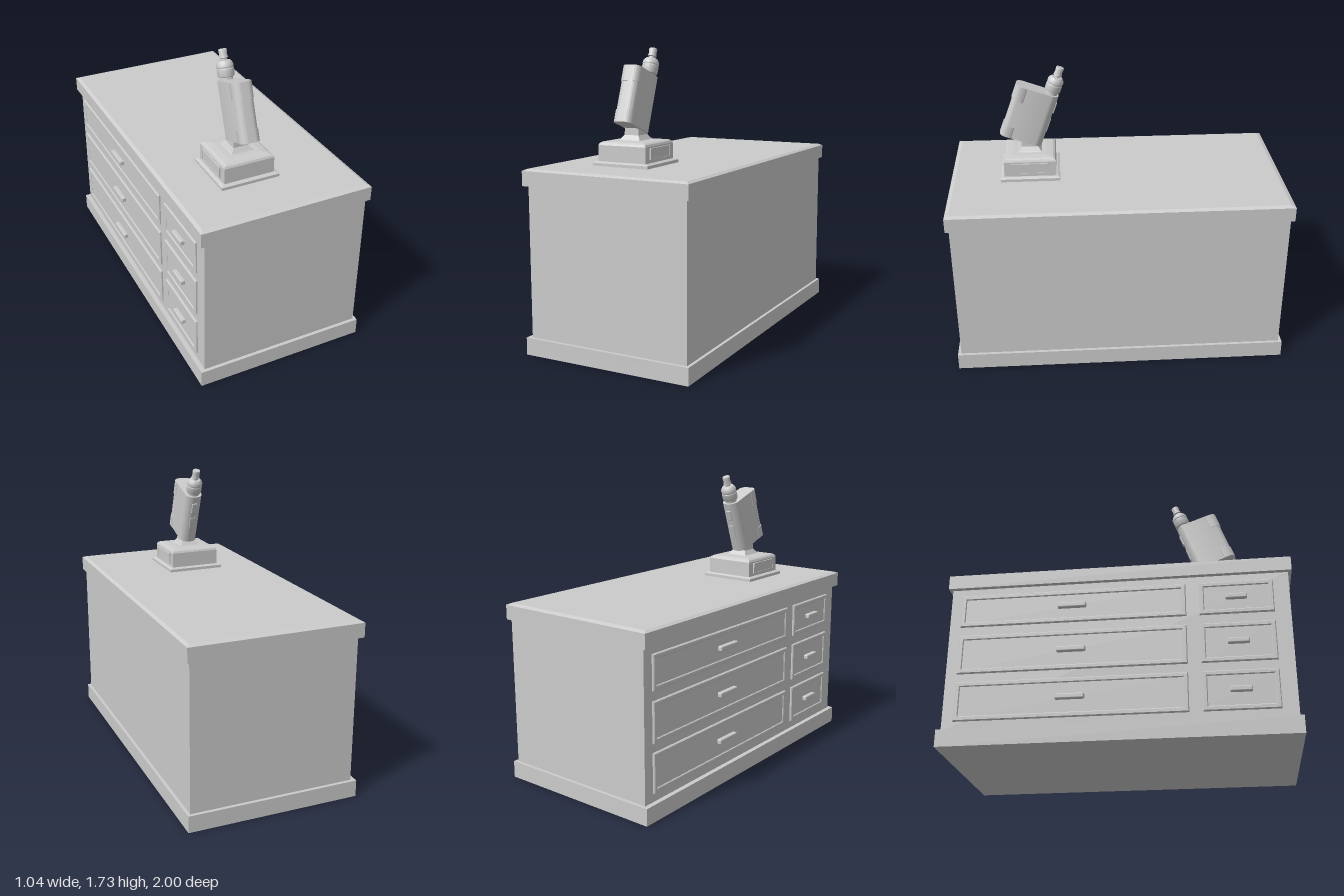
import * as THREE from 'three';
import { toCreasedNormals } from 'three/addons/utils/BufferGeometryUtils.js';
import { RoundedBoxGeometry } from 'three/addons/geometries/RoundedBoxGeometry.js';

const grey = new THREE.MeshStandardMaterial({ color: 0xcccccc });

function add(parent, name, geometry, x = 0, y = 0, z = 0) {
  const mesh = new THREE.Mesh(geometry, grey);
  mesh.name = name;
  mesh.position.set(x, y, z);
  parent.add(mesh);
  return mesh;
}

// Closed solid from stacked rectangles, each [y, halfX, halfZ]
function rectLoft(rings) {
  const pos = [];
  const corners = rings.map(([y, a, b]) => [[-a, y, b], [a, y, b], [a, y, -b], [-a, y, -b]]);
  const quad = (a, b, c, d) => pos.push(...a, ...b, ...c, ...a, ...c, ...d);
  for (let i = 0; i < rings.length - 1; i++) {
    const lo = corners[i], hi = corners[i + 1];
    for (let k = 0; k < 4; k++) quad(lo[k], lo[(k + 1) % 4], hi[(k + 1) % 4], hi[k]);
  }
  const first = corners[0], last = corners[corners.length - 1];
  quad(last[0], last[1], last[2], last[3]);
  quad(first[3], first[2], first[1], first[0]);
  const g = new THREE.BufferGeometry();
  g.setAttribute('position', new THREE.Float32BufferAttribute(pos, 3));
  g.computeVertexNormals();
  return g;
}

// Upright slab with rounded ends: half width w, z from back to front, corner radii per end
function roundedSlab(w, back, front, rBack, rFront, y0, y1) {
  const s = new THREE.Shape();
  s.moveTo(-w + rFront, -front);
  s.lineTo(w - rFront, -front);
  s.absarc(w - rFront, -front + rFront, rFront, -Math.PI / 2, 0, false);
  s.absarc(w - rBack, -back - rBack, rBack, 0, Math.PI / 2, false);
  s.absarc(-w + rBack, -back - rBack, rBack, Math.PI / 2, Math.PI, false);
  s.absarc(-w + rFront, -front + rFront, rFront, Math.PI, Math.PI * 1.5, false);
  const g = new THREE.ExtrudeGeometry(s, { depth: y1 - y0, bevelEnabled: false, curveSegments: 10 });
  g.rotateX(-Math.PI / 2);
  g.translate(0, y0, 0);
  return toCreasedNormals(g, 0.6);
}

// Drawer on the -x side: bevelled frame, recessed panel and handle
function makeDrawer(width, height, handleLength) {
  const drawer = new THREE.Group();
  drawer.name = 'drawer';
  const rect = (shape, w, h) => shape.moveTo(-w, -h).lineTo(w, -h).lineTo(w, h).lineTo(-w, h).closePath();
  const w = width / 2 - 0.005, h = height / 2 - 0.005, rim = 0.018;
  const frame = new THREE.Shape();
  rect(frame, w, h);
  const hole = new THREE.Path();
  rect(hole, w - rim, h - rim);
  frame.holes.push(hole);
  const g = new THREE.ExtrudeGeometry(frame, {
    depth: 0.008, bevelThickness: 0.005, bevelSize: 0.005, bevelSegments: 1,
  });
  g.rotateY(-Math.PI / 2);
  add(drawer, 'drawerFrame', g);
  add(drawer, 'drawerPanel', new THREE.BoxGeometry(0.014, height - 0.03, width - 0.03));
  add(drawer, 'drawerHandle', new RoundedBoxGeometry(0.03, 0.03, handleLength, 2, 0.007), -0.018);
  return drawer;
}

function makeCabinet() {
  const cabinet = new THREE.Group();
  cabinet.name = 'cabinet';
  add(cabinet, 'plinth', new THREE.BoxGeometry(1.036, 0.1, 2), 0, 0.05);
  add(cabinet, 'carcass', new THREE.BoxGeometry(0.99, 0.88, 1.96), 0.005, 0.535);
  add(cabinet, 'worktop', rectLoft([[0.97, 0.518, 1], [1.055, 0.518, 1], [1.065, 0.498, 0.975]]));
  const rows = [[0.265, 0.23], [0.55, 0.235], [0.825, 0.2]];
  const columns = [[-0.26, 1.31, 0.165], [0.68, 0.42, 0.12]];
  for (const [y, height] of rows) {
    for (const [z, width, handle] of columns) {
      const drawer = makeDrawer(width, height, handle);
      drawer.position.set(-0.49, y, z);
      cabinet.add(drawer);
    }
  }
  return cabinet;
}

function makeStand() {
  const stand = new THREE.Group();
  stand.name = 'displayStand';
  add(stand, 'standPlate', rectLoft([[1.063, 0.178, 0.178], [1.082, 0.178, 0.178], [1.09, 0.163, 0.163]]));
  add(stand, 'standBlock', rectLoft([
    [1.088, 0.154, 0.156], [1.182, 0.154, 0.156], [1.194, 0.148, 0.15],
    [1.201, 0.136, 0.138], [1.206, 0.1, 0.1],
  ]));
  for (const side of [-1, 1]) {
    // Side plaque with a raised border
    const plaque = new THREE.Group();
    plaque.name = 'sidePlaque';
    plaque.position.set(side * 0.154, 1.141, 0);
    stand.add(plaque);
    add(plaque, 'plaqueFace', new THREE.BoxGeometry(0.012, 0.064, 0.223));
    for (const s of [-1, 1]) {
      add(plaque, 'plaqueRail', new THREE.BoxGeometry(0.018, 0.005, 0.223), 0, s * 0.03);
      add(plaque, 'plaqueStile', new THREE.BoxGeometry(0.018, 0.064, 0.005), 0, 0, s * 0.109);
    }
  }
  add(stand, 'standNeck', rectLoft([
    [1.203, 0.07, 0.075], [1.212, 0.062, 0.067], [1.235, 0.046, 0.05], [1.285, 0.043, 0.047],
  ]));
  return stand;
}

function makeDevice() {
  const device = new THREE.Group();
  device.name = 'tiltedDevice';
  add(device, 'deviceBody', roundedSlab(0.055, -0.131, 0.126, 0.05, 0.035, -0.166, 0.166));
  // Front end caps above and below the smooth front panel
  add(device, 'upperFrontCap', roundedSlab(0.058, 0.06, 0.131, 0.005, 0.038, 0.072, 0.164));
  add(device, 'lowerFrontCap', roundedSlab(0.058, 0.06, 0.131, 0.005, 0.038, -0.166, -0.094));
  // Small controls on the back edge
  add(device, 'backButton', new RoundedBoxGeometry(0.034, 0.07, 0.014, 2, 0.005), 0, 0.085, -0.13);
  add(device, 'backScreen', new RoundedBoxGeometry(0.036, 0.09, 0.008, 2, 0.003), 0, -0.03, -0.13);
  // Turned top piece
  const profile = [
    [0, 0.16], [0.036, 0.16], [0.036, 0.18], [0.045, 0.183], [0.048, 0.19], [0.048, 0.226],
    [0.046, 0.229], [0.046, 0.234], [0.048, 0.237], [0.048, 0.25], [0.042, 0.263],
    [0.034, 0.272], [0.018, 0.274], [0.018, 0.283], [0.026, 0.287], [0.022, 0.305],
    [0.024, 0.33], [0.022, 0.335], [0, 0.335],
  ].map(([r, y]) => new THREE.Vector2(r, y));
  const turned = toCreasedNormals(new THREE.LatheGeometry(profile, 24), 0.5);
  add(device, 'topTank', turned, 0, 0, -0.085);
  device.position.set(0.004, 1.433, -0.004);
  device.rotation.x = -THREE.MathUtils.degToRad(20);
  return device;
}

export function createModel() {
  const model = new THREE.Group();
  model.name = 'cabinetWithDisplay';
  model.add(makeCabinet());
  const display = new THREE.Group();
  display.name = 'display';
  display.position.set(-0.072, 0, 0.52);
  display.add(makeStand(), makeDevice());
  model.add(display);
  return model;
}
